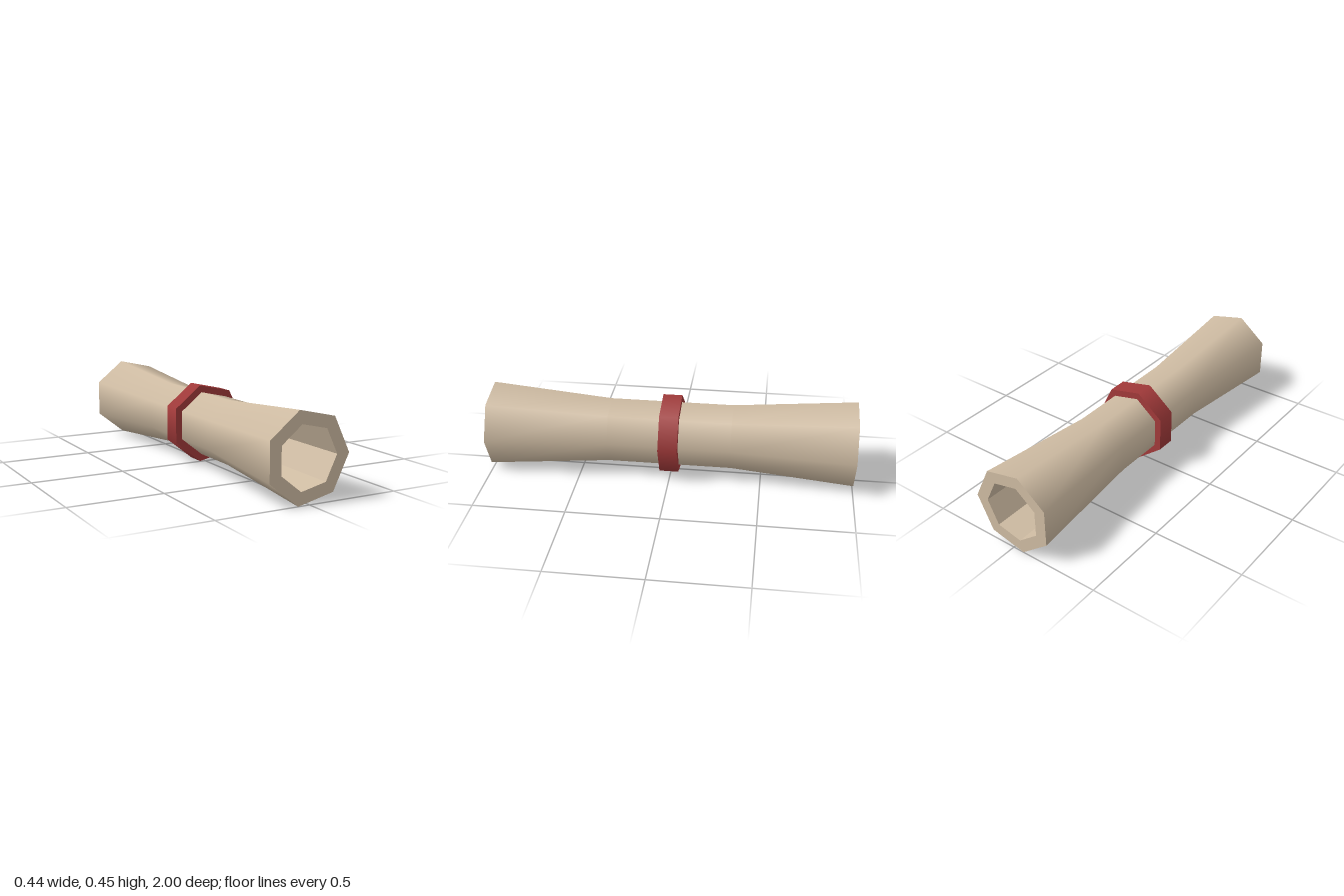
import * as THREE from 'three';

const SIDES = 7;
const paper = new THREE.MeshStandardMaterial({ color: 0xd0bda4 });
paper.name = 'parchment';
const red = new THREE.MeshStandardMaterial({ color: 0xa23a3a });
red.name = 'ribbonRed';

// Seven-sided surface around the z axis; profile points are [radius, z].
function surface(name, profile, material, flat = false) {
  const points = profile.map(([r, z]) => new THREE.Vector2(r, z));
  let geometry = new THREE.LatheGeometry(points, SIDES, Math.PI / 2);
  geometry.rotateX(Math.PI / 2);
  if (flat) {
    geometry = geometry.toNonIndexed();
    geometry.computeVertexNormals();
  }
  const mesh = new THREE.Mesh(geometry, material);
  mesh.name = name;
  return mesh;
}

// Open tube with a smooth outside, flat end rims and a faceted bore.
function tube(name, outer, inner, material) {
  const group = new THREE.Group();
  group.name = name;
  const bore = [...inner].reverse();
  const last = outer.length - 1;
  group.add(
    surface(name + 'Outside', outer, material),
    surface(name + 'FrontRim', [outer[last], inner[last]], material, true),
    surface(name + 'Inside', bore, material, true),
    surface(name + 'BackRim', [inner[0], outer[0]], material, true)
  );
  return group;
}

export function createModel() {
  const model = new THREE.Group();
  model.name = 'tiedScroll';

  // Rolled sheet, pinched to a narrow waist
  const stations = [-1, -0.335, 0.335, 1];
  const outer = [0.2315, 0.176, 0.176, 0.2315].map((r, i) => [r, stations[i]]);
  const inner = [0.1625, 0.1525, 0.1525, 0.1625].map((r, i) => [r, stations[i]]);
  model.add(tube('scroll', outer, inner, paper));

  // Band around the waist
  const ends = [-0.052, 0.052];
  model.add(tube('ribbon', ends.map(z => [0.2155, z]), ends.map(z => [0.17, z]), red));

  // Rest on the ground, centred
  model.position.set(-0.0115, 0.2257, 0);
  const root = new THREE.Group();
  root.name = 'scrollModel';
  root.add(model);
  return root;
}
